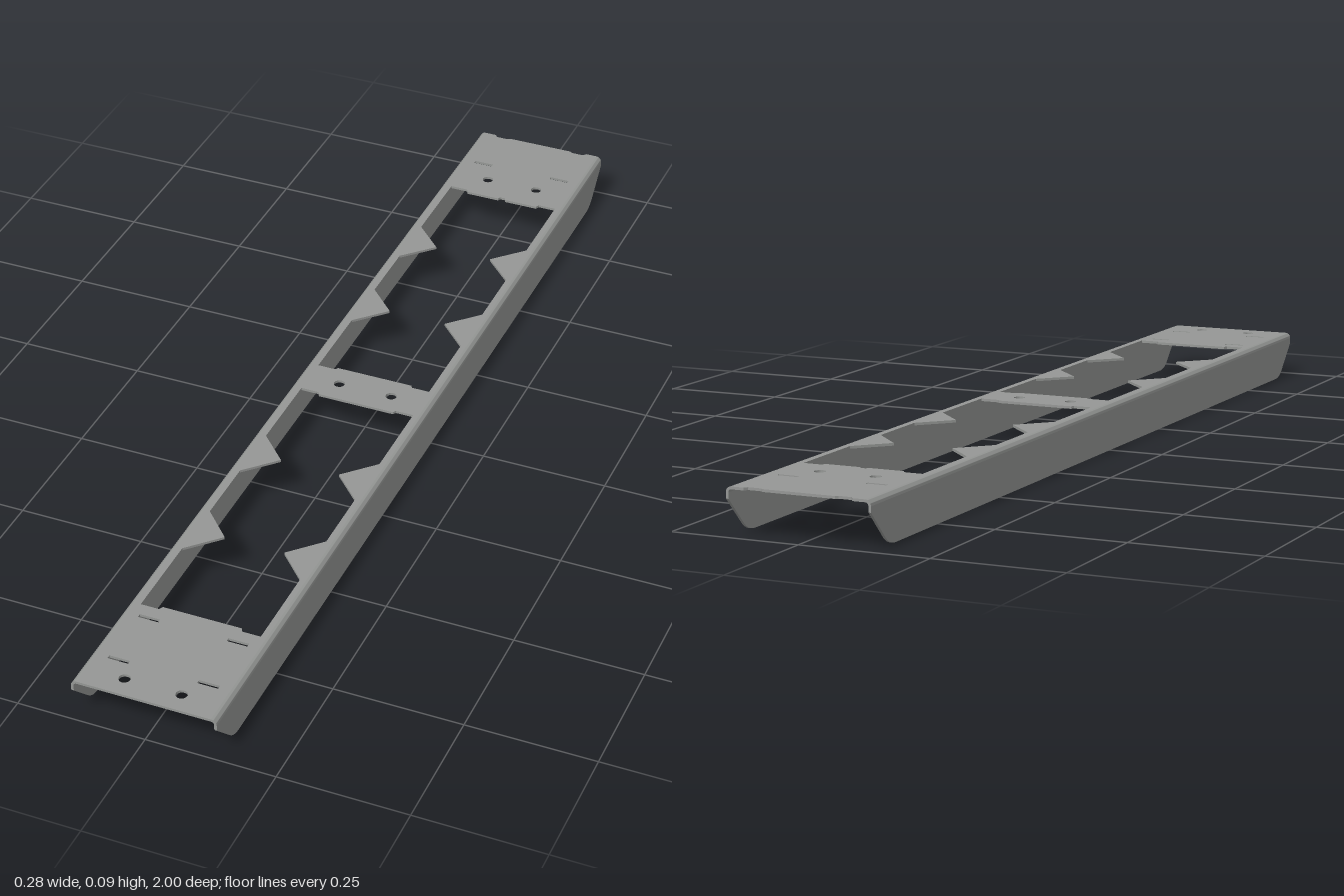
import * as THREE from 'three';
import { toCreasedNormals } from 'three/addons/utils/BufferGeometryUtils.js';

const W = 0.14, H = 0.09, T = 0.005, R = 0.011; // half width, height, sheet thickness, bend radius
const material = new THREE.MeshStandardMaterial({ color: 0x959795 });

function extrude(shape, depth) {
  const g = new THREE.ExtrudeGeometry(shape, { depth, bevelEnabled: false, curveSegments: 10 });
  return toCreasedNormals(g, 0.6);
}

function poly(points, Type = THREE.Path) {
  return new Type(points.map(([x, y]) => new THREE.Vector2(x, y)));
}

function roundHole(x, z, r = 0.011) {
  const p = new THREE.Path();
  p.absarc(x, z, r, 0, Math.PI * 2, true);
  return p;
}

function slot(x, z, w = 0.04, h = 0.008) {
  const a = w / 2, b = h / 2;
  return poly([[x - a, z - b], [x - a, z + b], [x + a, z + b], [x + a, z - b]]);
}

// Window with pointed teeth on both long edges; s is the end of the channel it lies towards
function windowCut(s) {
  const e = 0.118, tip = 0.06, half = 0.06;
  const side = [[e, 0.042]];
  for (const z of [0.273, 0.53]) side.push([e, z - half], [tip, z], [e, z + half]);
  side.push([e, 0.765], [0.082, 0.765], [0.078, 0.757]);
  const right = [[0.078, 0.048], [0.082, 0.042], ...side];
  // small nick in the middle of the end plate's edge at the back
  const nick = s < 0 ? [[0.008, 0.757], [0.005, 0.763]] : [];
  const half1 = [...right, ...nick];
  const half2 = half1.map(([x, z]) => [-x, z]).reverse();
  return poly([...half1, ...half2].map(([x, z]) => [x, z * s]));
}

function topPlate() {
  const x = W - R;
  // back edge is slightly recessed, with a wide tab in the middle
  const shape = poly([
    [-x, 1], [-x, -1], [-0.105, -1], [-0.1, -0.993], [-0.075, -0.993], [-0.07, -0.997],
    [0.07, -0.997], [0.075, -0.993], [0.1, -0.993], [0.105, -1], [x, -1], [x, 1],
  ], THREE.Shape);
  shape.holes.push(windowCut(1), windowCut(-1));
  for (const s of [-1, 1]) {
    for (const z of [-0.82, 0, 0.96]) shape.holes.push(roundHole(s * 0.055, z));
    for (const z of [-0.877, 0.795, 0.918]) shape.holes.push(slot(s * 0.087, z));
  }
  return extrude(shape, T).rotateX(Math.PI / 2).translate(0, H, 0);
}

// Side flange with chamfered, rounded lower corners
function flange() {
  const s = new THREE.Shape();
  s.moveTo(-1, H - R);
  s.lineTo(-1, 0.068);
  s.lineTo(-0.95, 0.017);
  s.quadraticCurveTo(-0.934, 0, -0.91, 0);
  s.lineTo(0.91, 0);
  s.quadraticCurveTo(0.934, 0, 0.95, 0.017);
  s.lineTo(1, 0.068);
  s.lineTo(1, H - R);
  return extrude(s, T).rotateY(-Math.PI / 2);
}

// Quarter-round bend joining the top to a flange
function bend(side) {
  const s = new THREE.Shape();
  const a = side > 0 ? 0 : Math.PI / 2, b = a + Math.PI / 2;
  s.absarc(0, 0, R, a, b, false);
  s.absarc(0, 0, R - T, b, a, true);
  s.closePath();
  return extrude(s, 2).translate(side * (W - R), H - R, -1);
}

export function createModel() {
  const group = new THREE.Group();
  group.name = 'channelTray';
  const add = (name, geometry) => {
    const mesh = new THREE.Mesh(geometry, material);
    mesh.name = name;
    group.add(mesh);
  };
  add('topPlate', topPlate());
  add('leftFlange', flange().translate(W, 0, 0));
  add('rightFlange', flange().translate(-W + T, 0, 0));
  add('leftBend', bend(1));
  add('rightBend', bend(-1));
  return group;
}
